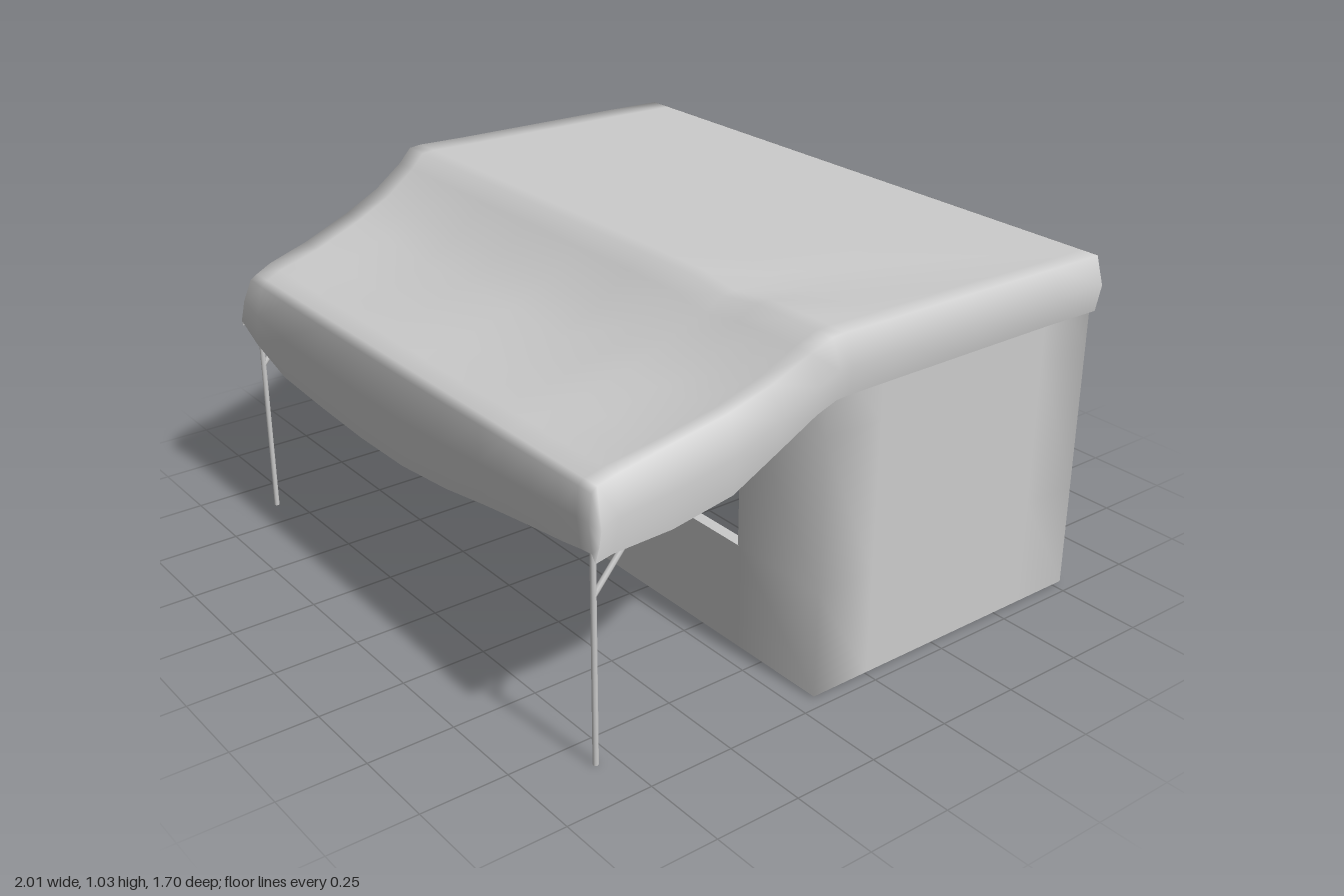
import * as THREE from 'three';

const material = new THREE.MeshStandardMaterial({ color: 0xcccccc, side: THREE.DoubleSide });

// Smooth skin over rows of [x, y, z] points; skip(row, column) leaves a hole
function skin(rows, skip = () => false) {
  const n = rows[0].length, index = [];
  for (let r = 0; r < rows.length - 1; r++)
    for (let c = 0; c < n - 1; c++) {
      if (skip(r, c)) continue;
      const a = r * n + c, b = a + n;
      index.push(a, b, a + 1, b, b + 1, a + 1);
    }
  const g = new THREE.BufferGeometry();
  g.setAttribute('position', new THREE.Float32BufferAttribute(rows.flat(2), 3));
  g.setIndex(index);
  g.computeVertexNormals();
  return g;
}

// Linear lookup in a list of [x, value] keys
function lookup(keys, x) {
  let i = 1;
  while (i < keys.length - 1 && x > keys[i][0]) i++;
  const [x0, a] = keys[i - 1], [x1, b] = keys[i];
  return a + (b - a) * THREE.MathUtils.clamp((x - x0) / (x1 - x0), 0, 1);
}

export function createModel() {
  const group = new THREE.Group();
  const add = (name, geometry) => {
    const mesh = new THREE.Mesh(geometry, material);
    mesh.name = name;
    group.add(mesh);
    return mesh;
  };
  const rod = (name, from, to, radius) => {
    const a = new THREE.Vector3(...from), b = new THREE.Vector3(...to);
    const mesh = add(name, new THREE.CylinderGeometry(radius, radius, a.distanceTo(b), 8));
    mesh.position.lerpVectors(a, b, 0.5);
    mesh.quaternion.setFromUnitVectors(new THREE.Vector3(0, 1, 0), b.sub(a).normalize());
  };

  // Walls: one strip round the floor plan, with a ragged serving window in front
  const sill = [[-0.66, 0.275], [-0.15, 0.275], [-0.09, 0.235], [0, 0.235],
    [0.02, 0.295], [0.1, 0.31], [0.3, 0.3], [0.45, 0.315], [0.65, 0.315]];
  const front = 0.187, back = -0.778, left = -0.973, right = 0.963, windowTop = 0.75;
  const plan = [[left, front], ...sill.map(([x]) => [x, front]), [right, front],
    [right, 0], [right, -0.6], [right, back], [0.7, back], [-0.7, back],
    [left, back], [left, -0.6], [left, 0], [left, front]];
  const wallRow = (y) => plan.map(([x, z], i) => [x, typeof y === 'number' ? y : y(x, i), z]);
  add('walls', skin(
    [wallRow(0.005), wallRow((x) => lookup(sill, x)), wallRow(windowTop), wallRow(0.99)],
    (r, c) => r === 1 && c >= 1 && c < sill.length));

  // Window reveal and the boards standing in the opening
  add('windowSill', skin([front, front - 0.035].map((z) => sill.map(([x, y]) => [x, y, z]))));
  for (const x of [-0.66, 0.65])
    add('windowJamb', new THREE.BoxGeometry(0.008, windowTop - 0.28, 0.035))
      .position.set(x, (windowTop + 0.28) / 2, front - 0.018);
  add('windowPost', new THREE.BoxGeometry(0.045, 0.5, 0.03)).position.set(-0.337, 0.52, front - 0.02);
  const board = add('leaningBoard', new THREE.BoxGeometry(0.035, 0.48, 0.025));
  board.position.set(0.375, 0.53, front - 0.02);
  board.rotation.z = -0.17;

  // Cloth sections: z, top height, skirt edge height, half width on top, half width at skirt edge
  const sections = [
    [-0.782, 1.012, 0.855, 0.968, 0.978],
    [-0.6, 1.016, 0.86, 0.97, 0.98],
    [-0.3, 1.02, 0.863, 0.972, 0.984],
    [0, 1.024, 0.867, 0.975, 0.99],
    [0.15, 1.028, 0.87, 0.977, 0.995],
    [0.19, 1.025, 0.87, 0.975, 0.998],
    [0.24, 0.99, 0.84, 0.955, 0.985],
    [0.34, 0.93, 0.765, 0.935, 0.965],
    [0.46, 0.88, 0.675, 0.915, 0.94],
    [0.62, 0.83, 0.625, 0.885, 0.912],
    [0.75, 0.795, 0.615, 0.87, 0.905],
    [0.8, 0.775, 0.605, 0.86, 0.905],
  ];
  const columns = [-1, -0.92, -0.75, -0.5, -0.25, 0, 0.25, 0.45, 0.58, 0.72, 0.85, 0.94, 1];
  const hem = [[-0.9, 0.625], [-0.79, 0.54], [-0.67, 0.51], [-0.3, 0.485], [0.1, 0.49],
    [0.35, 0.535], [0.75, 0.595], [0.9, 0.63]];
  const skirt = (s, [z, top, low, wTop, wLow], t) => [
    s * (wTop + (wLow - wTop) * t + 0.02 * Math.sin(Math.PI * t)),
    top + (low - top) * t, z + (z > 0.7 ? 0.04 * t : 0)];
  const cloth = sections.map((section) => {
    const [z, top, , w] = section;
    const slope = THREE.MathUtils.smoothstep(z, 0.19, 0.4) * (1 - THREE.MathUtils.smoothstep(z, 0.6, 0.82));
    const middle = columns.map((u) => {
      const sag = 0.025 * slope * (1 - u ** 4) * (1 + 0.3 * Math.sin(u * 9));
      // pulled fold fanning out from the rear corner
      const pull = (z + 0.78) / 0.97, foldX = 0.97 - 0.4 * pull;
      const fold = z < 0.3 ? 0.022 * pull * Math.exp(-(((u * w - foldX) / 0.07) ** 2)) : 0;
      return [u * w, top - sag - fold, z];
    });
    return [skirt(-1, section, 1), skirt(-1, section, 0.5), ...middle,
      skirt(1, section, 0.5), skirt(1, section, 1)];
  });

  // Valance: the cloth turns down over the front rail to the sagging hem
  const last = sections[sections.length - 1], fold = cloth[cloth.length - 1];
  for (const [t, z] of [[0.08, 0.818], [0.5, 0.83], [1, 0.825]])
    cloth.push(fold.map((p, i) => {
      const s = Math.sign(p[0]);
      if (i === 0 || i === fold.length - 1) return p;
      if (i === 1 || i === fold.length - 2) return skirt(s, last, 0.5 + 0.5 * t);
      const u = p[0] / last[3], x = p[0] * (1 + 0.045 * t);
      return [x, p[1] + (lookup(hem, x) - p[1]) * t, z + 0.02 * t * u ** 8];
    }));
  add('clothRoof', skin(cloth));

  // Rear flap: hangs from the roof edge, bulges out and tucks back to the wall
  const rearHem = [[-0.972, 0.85, 0], [-0.9, 0.62, 0.025], [-0.75, 0.38, 0.045], [-0.65, 0.36, 0.052],
    [-0.4, 0.36, 0.064], [-0.1, 0.355, 0.074], [0.27, 0.345, 0.07], [0.36, 0.4, 0.05],
    [0.55, 0.58, 0.022], [0.75, 0.74, 0.012], [0.968, 0.855, 0]];
  const flap = [0, 0.25, 0.5, 0.75, 1].map((t) =>
    rearHem.map(([x, y, out]) => [x, 1.012 + (y - 1.012) * t, -0.783 - out * t]));
  add('rearFlap', skin(flap));
  add('rearFlapHem', skin([flap[4], rearHem.map(([x, y, out]) => [x, y - out * 0.6, -0.783 - out * 0.2])]));

  // Awning poles with braces and the rail between them
  for (const x of [-0.862, 0.846]) {
    rod('awningPole', [x, 0, 0.805], [x, 0.74, 0.805], 0.008);
    rod('poleBrace', [x, 0.48, 0.805], [x, 0.65, 0.66], 0.008);
  }
  rod('awningRail', [-0.862, 0.74, 0.8], [0.846, 0.74, 0.8], 0.008);

  return group;
}
